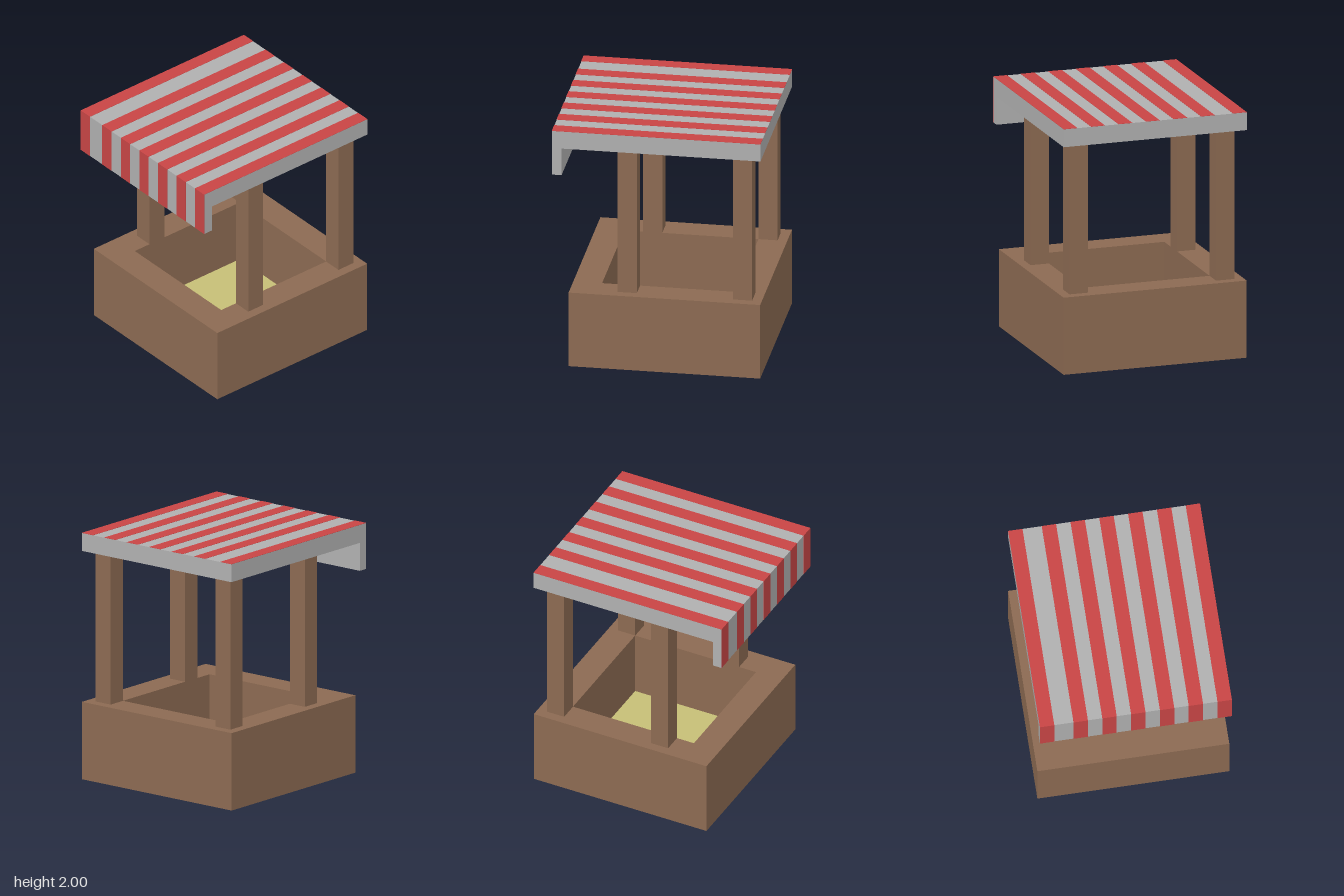
import * as THREE from 'three';

const mat = (name, color) => {
  const m = new THREE.MeshStandardMaterial({ color });
  m.name = name;
  return m;
};

export function createModel() {
  const wood = mat('brown wood', 0x8c6a52);
  const cloth = mat('grey cloth', 0xb0b0b0);
  const red = mat('red stripe', 0xc84545);
  const straw = mat('pale yellow floor', 0xc6bf76);

  const model = new THREE.Group();
  model.name = 'marketStall';
  const add = (parent, name, geometry, material, x = 0, y = 0, z = 0) => {
    const mesh = new THREE.Mesh(geometry, material);
    mesh.name = name;
    mesh.position.set(x, y, z);
    parent.add(mesh);
    return mesh;
  };
  const rect = (path, w, d) => path.moveTo(-w, -d).lineTo(w, -d).lineTo(w, d).lineTo(-w, d).closePath();

  const u = 0.0381;            // grid step shared by all parts
  const half = 20 * u;         // half width of counter and awning
  const inner = 14 * u;        // half width of the standing area
  const counterTop = 0.628;
  const floorY = 0.09;
  const centreZ = -0.066;

  // Thick square counter with an open middle
  const ring = rect(new THREE.Shape(), half, half);
  ring.holes.push(rect(new THREE.Path(), inner, inner));
  const ringGeo = new THREE.ExtrudeGeometry(ring, { depth: counterTop, bevelEnabled: false });
  ringGeo.rotateX(-Math.PI / 2);
  add(model, 'counter', ringGeo, wood, 0, 0, centreZ);

  // Base slab and the floor covering inside the counter
  add(model, 'baseSlab', new THREE.BoxGeometry(2 * inner, floorY - 0.006, 2 * inner), wood,
    0, (floorY - 0.006) / 2, centreZ);
  add(model, 'floor', new THREE.BoxGeometry(2 * inner, 0.006, 2 * inner), straw,
    0, floorY - 0.003, centreZ);

  // Four posts
  const roofY = 1.853;
  const postGeo = new THREE.BoxGeometry(4 * u, roofY - counterTop, 4 * u);
  for (const [end, z] of [['front', 0.242], ['back', -0.675]])
    for (const [side, s] of [['Left', 1], ['Right', -1]])
      add(model, `${end}${side}Post`, postGeo, wood, s * 16 * u, (roofY + counterTop) / 2, z);

  // Awning: L-shaped side profile (z, y) swept across the width
  const awning = new THREE.Group();
  awning.name = 'awning';
  model.add(awning);
  const top = 1.998, front = 0.828, back = -0.83, hem = 1.626;
  const profile = new THREE.Shape([
    [back, roofY], [front - 2 * u, roofY], [front - 2 * u, hem],
    [front, hem], [front, top], [back, top],
  ].map(([z, y]) => new THREE.Vector2(-z, y)));
  const awningGeo = new THREE.ExtrudeGeometry(profile, { depth: 2 * half, bevelEnabled: false });
  awningGeo.rotateY(Math.PI / 2).translate(-half, 0, 0);
  add(awning, 'canopy', awningGeo, cloth);

  // Red stripes over the top and down the front flap
  for (const start of [-20, -13, -7, -1, 5, 11, 17]) {
    const x = (start + 1.5) * u;
    add(awning, 'topStripe', new THREE.BoxGeometry(3 * u, 0.002, front - back + 0.002), red,
      x, top + 0.001, (front + back) / 2 + 0.001);
    add(awning, 'flapStripe', new THREE.BoxGeometry(3 * u, top - hem, 0.002), red,
      x, (top + hem) / 2, front + 0.001);
  }
  return model;
}
